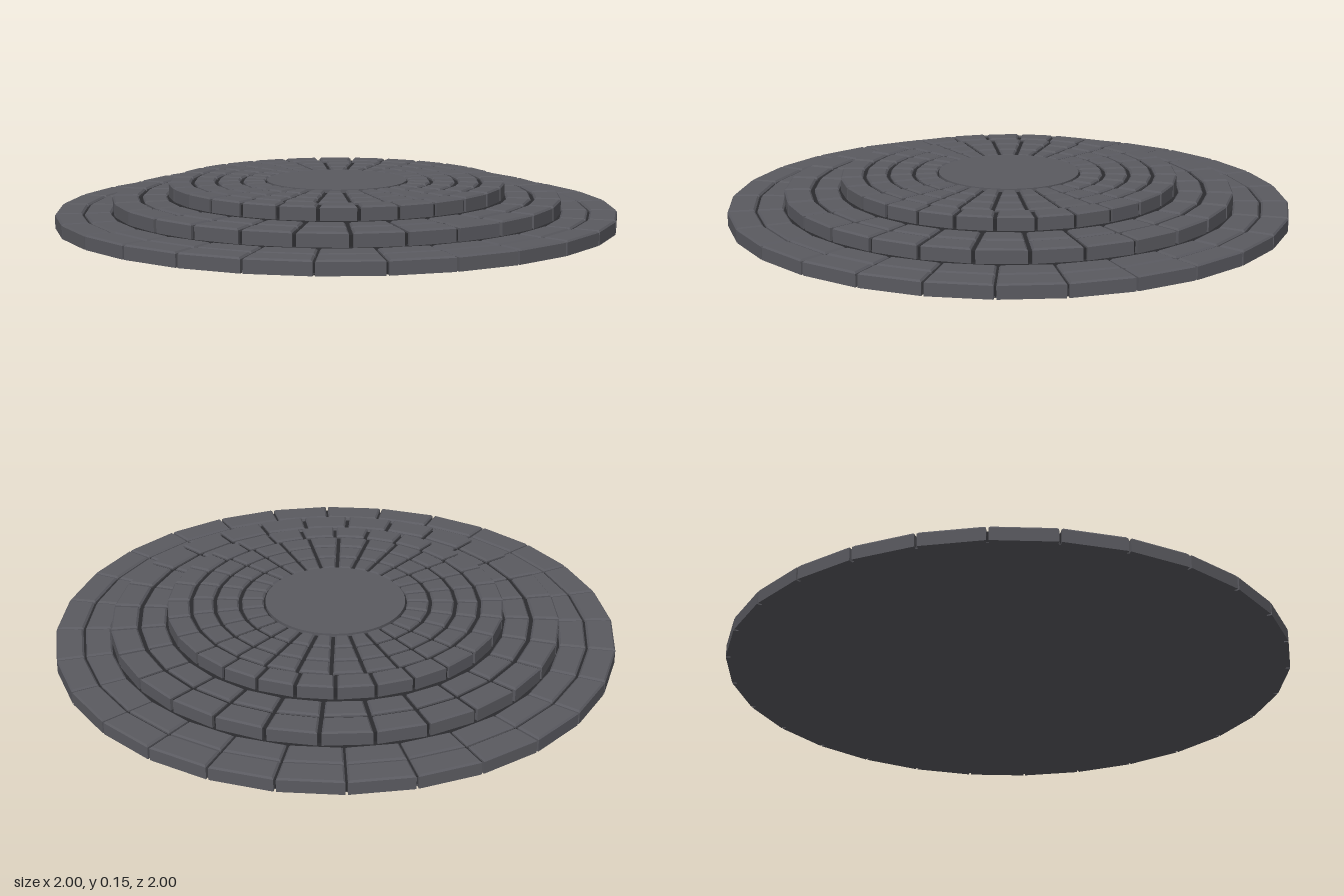
import * as THREE from 'three';

const COUNT = 28; // stones per ring
const STEP = (Math.PI * 2) / COUNT;

// One ring of straight-edged stones with bevelled tops
function stoneRing(rIn, rOut, y0, y1, gap, bevel, phase) {
  const pos = [];
  const quad = (a, b, c, d) => pos.push(...a, ...b, ...c, ...a, ...c, ...d);
  for (let i = 0; i < COUNT; i++) {
    const a0 = phase + i * STEP;
    // Four corners at one height, pulled in by an inset
    const loop = (y, inset) => {
      const corner = (r, a, side) => {
        const t = a + (side * (gap / 2 + inset)) / r;
        return [r * Math.cos(t), y, r * Math.sin(t)];
      };
      const ri = rIn + inset, ro = rOut - inset;
      return [corner(ri, a0, 1), corner(ro, a0, 1), corner(ro, a0 + STEP, -1), corner(ri, a0 + STEP, -1)];
    };
    const loops = [loop(y0, 0), loop(y1 - bevel, 0), loop(y1, bevel)];
    for (let k = 0; k < 2; k++) {
      for (let j = 0; j < 4; j++) {
        const n = (j + 1) % 4;
        quad(loops[k][j], loops[k + 1][j], loops[k + 1][n], loops[k][n]);
      }
    }
    const [A, B, C, D] = loops[2];
    quad(A, D, C, B);
    const [E, F, G, H] = loops[0];
    quad(E, F, G, H);
  }
  const geo = new THREE.BufferGeometry();
  geo.setAttribute('position', new THREE.Float32BufferAttribute(pos, 3));
  geo.computeVertexNormals();
  return geo;
}

export function createModel() {
  const stone = new THREE.MeshStandardMaterial({ color: 0x5a5a60 });
  stone.name = 'grey stone';
  const mortar = new THREE.MeshStandardMaterial({ color: 0x2b2b2e });
  mortar.name = 'dark mortar';

  const model = new THREE.Group();
  model.name = 'steppedRoundPlatform';

  const add = (parent, name, geo, mat, y = 0) => {
    const mesh = new THREE.Mesh(geo, mat);
    mesh.name = name;
    mesh.position.y = y;
    parent.add(mesh);
  };
  const disc = (r, h) => new THREE.CylinderGeometry(r, r, h, 64);

  // Steps from the ground up: row radii, joint width and joint angle of each row
  const deg = Math.PI / 180;
  const steps = [
    { name: 'lowerStep', radii: [0.8, 0.9, 1.0], gap: 0.008, phases: [2.9, 2.9] },
    { name: 'middleStep', radii: [0.6, 0.7, 0.8], gap: 0.014, phases: [-4.3, -4.3] },
    { name: 'upperStep', radii: [0.25, 0.34, 0.43, 0.515, 0.6], gap: 0.013, phases: [6.43, 6.43, 6.43, 4.8] },
  ];
  const H = 0.05;
  steps.forEach(({ name, radii, gap, phases }, s) => {
    const step = new THREE.Group();
    step.name = name;
    model.add(step);
    const y0 = s * H, y1 = y0 + H;
    const outer = radii[radii.length - 1];

    // Recessed core that shows in the joints
    add(step, 'mortarCore', disc(outer * 0.985, H - 0.014), mortar, y0 + 0.002 + (H - 0.014) / 2);

    // Rows of stones
    phases.forEach((p, i) => {
      const last = i === phases.length - 1;
      const ro = radii[i + 1] - (last ? 0 : gap / 2);
      add(step, 'stoneRow' + (i + 1), stoneRing(radii[i] + gap / 2, ro, y0, y1, gap, 0.006, p * deg), stone);
    });
  });

  // Smooth round slab in the middle and closed underside
  add(model, 'centreSlab', disc(0.25, H), stone, 2.5 * H);
  add(model, 'underside', disc(0.985, 0.008), stone, 0.004);
  return model;
}
